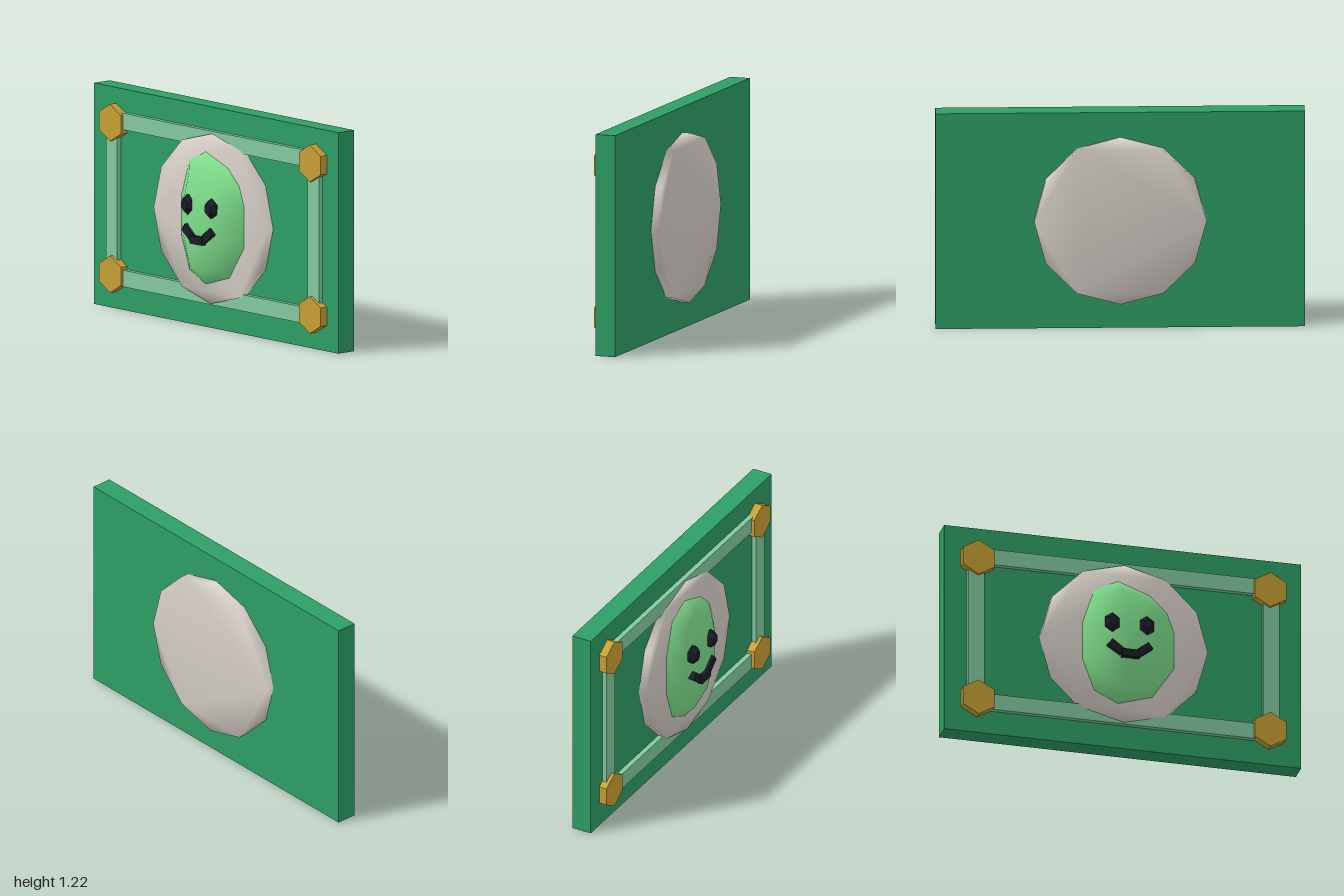
import * as THREE from 'three';
import { mergeVertices } from 'three/addons/utils/BufferGeometryUtils.js';

const mat = (name, color, flatShading = false) => {
  const m = new THREE.MeshStandardMaterial({ color, flatShading });
  m.name = name;
  return m;
};

// Weld all corners so the normals blend across every edge
function smooth(geometry) {
  geometry.deleteAttribute('normal');
  geometry.deleteAttribute('uv');
  const welded = mergeVertices(geometry, 1e-4);
  welded.computeVertexNormals();
  return welded;
}

// Rounded face relief: shrinking copies of one outline, closed by a centre point
function faceGeometry() {
  const outline = [[-0.037, 0.975], [-0.17, 0.91], [-0.235, 0.71], [-0.235, 0.487], [-0.17, 0.31], [-0.037, 0.246],
    [0.155, 0.305], [0.275, 0.487], [0.275, 0.71], [0.235, 0.82], [0.14, 0.91]];
  const cx = 0.015, cy = 0.61, n = outline.length;
  const rings = [[0.02, 0.96, 0.96], [0.042, 1, 1], [0.1, 0.68, 0.81], [0.128, 0.36, 0.36]]; // z, x scale, y scale
  const pos = [], index = [];
  for (const [z, sx, sy] of rings)
    for (const [x, y] of outline) pos.push(cx + (x - cx) * sx, cy + (y - cy) * sy, z);
  for (let r = 0; r < rings.length - 1; r++)
    for (let i = 0; i < n; i++) {
      const a = r * n + i, b = r * n + (i + 1) % n;
      index.push(a, b, b + n, a, b + n, a + n);
    }
  const last = (rings.length - 1) * n;
  pos.push(cx, cy, 0.131);
  for (let i = 0; i < n; i++) index.push(last + i, last + (i + 1) % n, last + n);
  const g = new THREE.BufferGeometry();
  g.setAttribute('position', new THREE.Float32BufferAttribute(pos, 3));
  g.setIndex(index);
  g.computeVertexNormals();
  return g;
}

export function createModel() {
  const group = new THREE.Group();
  const green = mat('slab green', 0x2d9f65);
  const pale = mat('border pale green', 0x82cb9f);
  const gold = mat('corner gold', 0xc8a035, true);
  const stone = mat('medallion grey', 0xd8d0c9);
  const mint = mat('face green', 0x7fe08c);
  const black = mat('feature black', 0x1d1d29, true);

  const add = (name, geometry, material, x, y, z) => {
    const mesh = new THREE.Mesh(geometry, material);
    mesh.name = name;
    mesh.position.set(x, y, z);
    group.add(mesh);
    return mesh;
  };

  // Slab
  add('slab', new THREE.BoxGeometry(2, 1.217, 0.114), green, 0, 0.6085, -0.057);

  // Raised border
  for (const y of [1.045, 0.18])
    add('horizontalBorder', new THREE.BoxGeometry(1.64, 0.091, 0.03), pale, 0, y, 0.013);
  for (const x of [-0.826, 0.826])
    add('verticalBorder', new THREE.BoxGeometry(0.092, 0.84, 0.03), pale, x, 0.61, 0.012);

  // Hexagonal corner studs
  for (const x of [-0.817, 0.817])
    for (const y of [1.028, 0.193]) {
      const stud = new THREE.CylinderGeometry(0.102, 0.102, 0.046, 6).rotateX(Math.PI / 2);
      add('cornerStud', stud, gold, x, y, 0.022);
    }

  // Twelve-sided medallion passing through the slab
  const disc = new THREE.Shape();
  for (let i = 0; i < 12; i++) {
    const a = i * Math.PI / 6;
    disc[i ? 'lineTo' : 'moveTo'](0.467 * Math.cos(a), 0.467 * Math.sin(a));
  }
  disc.closePath();
  add('medallion', smooth(new THREE.ExtrudeGeometry(disc, { depth: 0.194, bevelEnabled: false })),
    stone, 0, 0.61, -0.155);

  // Face
  add('face', faceGeometry(), mint, 0, 0, 0);

  // Faceted eyes
  for (const x of [-0.09, 0.102]) {
    const eye = new THREE.CylinderGeometry(0.032, 0.058, 0.03, 6).rotateX(Math.PI / 2);
    add('eye', eye, black, x, 0.688, 0.14).scale.x = 0.82;
    const base = new THREE.CylinderGeometry(0.058, 0.05, 0.015, 6).rotateX(Math.PI / 2);
    add('eyeBase', base, black, x, 0.688, 0.1175).scale.x = 0.82;
  }

  // Smile made of three bars
  add('mouthMiddle', new THREE.BoxGeometry(0.1, 0.044, 0.04), black, 0.006, 0.505, 0.135);
  for (const s of [-1, 1])
    add('mouthCorner', new THREE.BoxGeometry(0.09, 0.044, 0.036), black, 0.006 + s * 0.078, 0.538, 0.128)
      .rotation.z = s * 0.66;

  return group;
}
